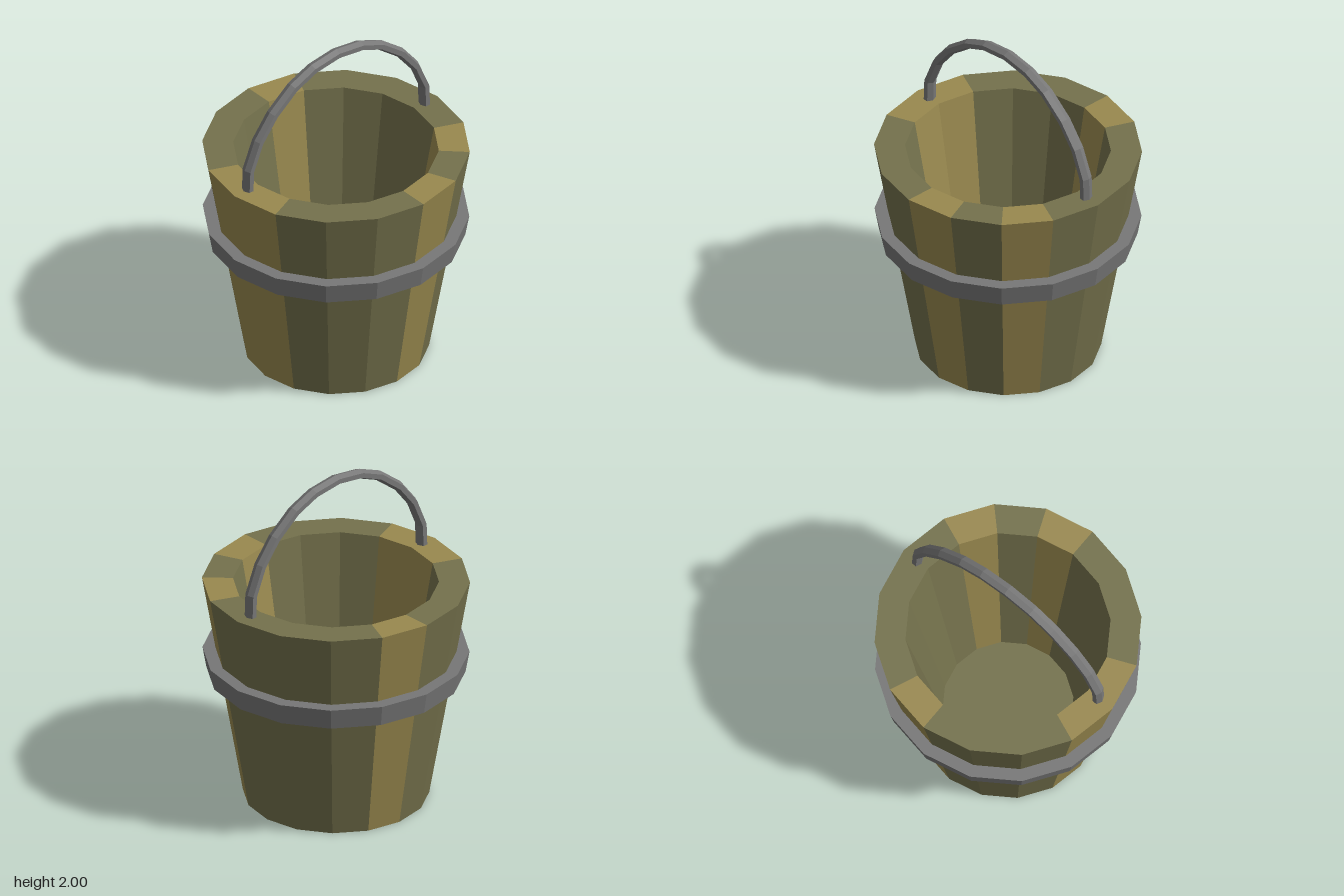
import * as THREE from 'three';

const SIDES = 16;
const STEP = (Math.PI * 2) / SIDES;
const HEIGHT = 1.335;
const FLOOR = 0.12;

const paint = (color) => new THREE.MeshStandardMaterial({ color, flatShading: true });
const profile = (pairs) => pairs.map(([r, y]) => new THREE.Vector2(r, y));

function part(name, geometry, material) {
  const mesh = new THREE.Mesh(geometry, material);
  mesh.name = name;
  return mesh;
}

// Hexagonal bar swept along a planar path
function sweepBar(path, halfRadial, halfDepth) {
  const rows = path.length - 1;
  const geometry = new THREE.CylinderGeometry(1, 1, 1, 6, rows);
  const pos = geometry.attributes.position;
  for (let v = 0; v < pos.count; v++) {
    const i = Math.round((pos.getY(v) + 0.5) * rows);
    const before = path[Math.max(i - 1, 0)];
    const after = path[Math.min(i + 1, rows)];
    const tangent = after.clone().sub(before).normalize();
    const out = pos.getZ(v) * halfRadial;
    pos.setXYZ(
      v,
      path[i].x - tangent.y * out,
      path[i].y + tangent.x * out,
      pos.getX(v) * halfDepth
    );
  }
  geometry.computeVertexNormals();
  return geometry;
}

export function createModel() {
  const group = new THREE.Group();
  group.name = 'bucket';
  const wood = paint(0x74714c);
  const paleWood = paint(0x99894f);
  const iron = paint(0x777777);

  // Staves: outer wall, rim and inner wall of each
  const staveProfile = profile([[0.525, 0], [0.755, HEIGHT], [0.58, HEIGHT], [0.37, FLOOR]]);
  const pale = [0, 2, 7, 11, 12];
  const staves = new THREE.Group();
  staves.name = 'staves';
  for (let i = 0; i < SIDES; i++) {
    const geometry = new THREE.LatheGeometry(staveProfile, 1, i * STEP, STEP);
    staves.add(part('stave', geometry, pale.includes(i) ? paleWood : wood));
  }
  group.add(staves);

  // Inner floor and underside
  const floor = part('floor', new THREE.CircleGeometry(0.37, SIDES), wood);
  floor.rotation.x = -Math.PI / 2;
  floor.position.y = FLOOR;
  const underside = part('underside', new THREE.CircleGeometry(0.525, SIDES), wood);
  underside.rotation.x = Math.PI / 2;
  group.add(floor, underside);

  // Flared hoop around the staves
  const hoopProfile = profile([[0.64, 0.77], [0.73, 0.77], [0.752, 0.895], [0.66, 0.895]]);
  group.add(part('hoop', new THREE.LatheGeometry(hoopProfile, SIDES), iron));

  // Arched handle, half the path mirrored
  const half = [[0.655, 1.33], [0.65, 1.465], [0.58, 1.63], [0.472, 1.767], [0.322, 1.885], [0.175, 1.947]];
  const path = [
    ...half.map(([x, y]) => new THREE.Vector2(-x, y)),
    new THREE.Vector2(0, 1.971),
    ...half.map(([x, y]) => new THREE.Vector2(x, y)).reverse(),
  ];
  group.add(part('handle', sweepBar(path, 0.029, 0.038), iron));

  return group;
}
